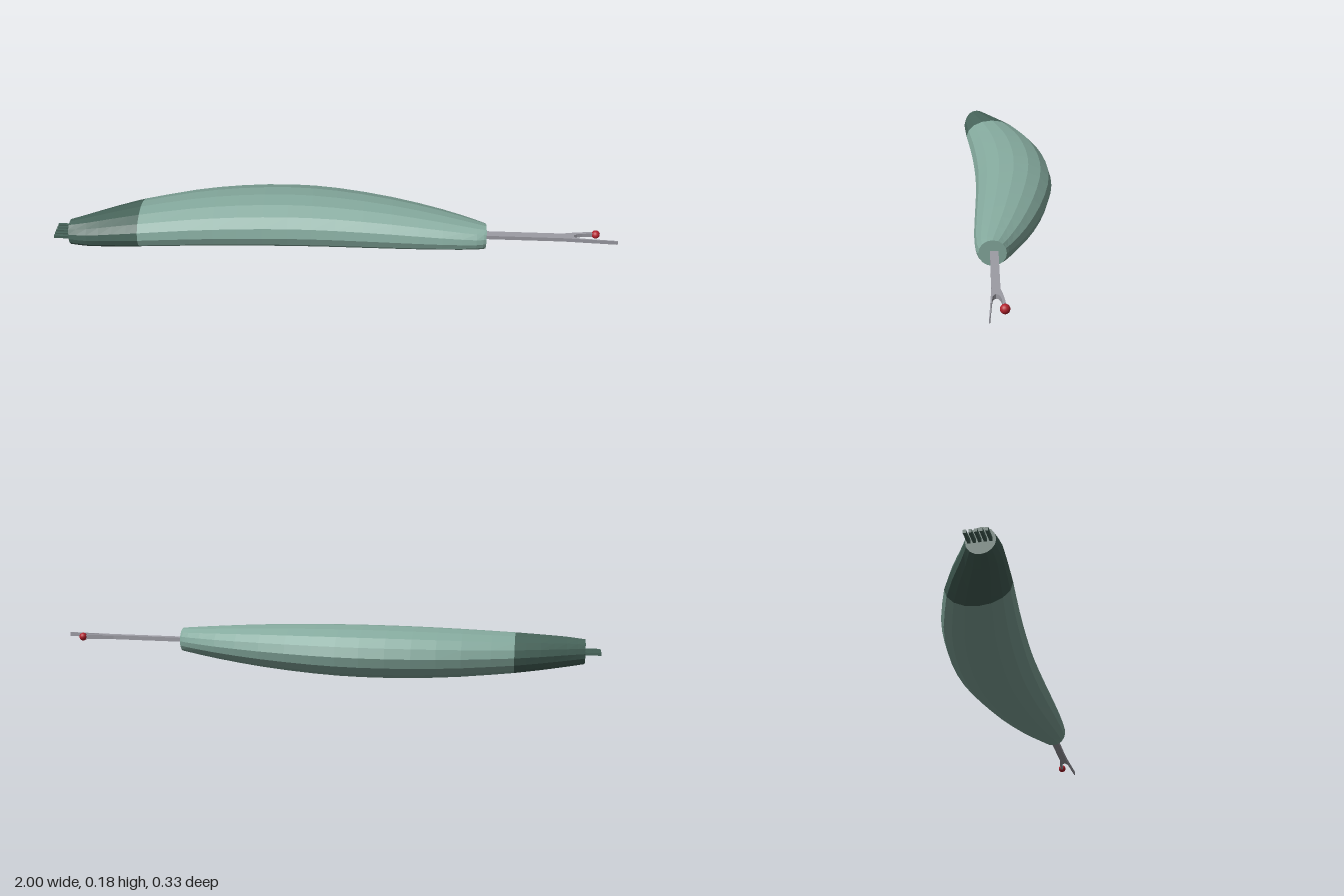
import * as THREE from 'three';

const Y = 0.095; // height of the long axis
const SIDES = 16;

const mat = (name, color) => {
  const m = new THREE.MeshStandardMaterial({ color });
  m.name = name;
  return m;
};

// Handle stations: x, back z, front z, half height
const capStations = [
  [-0.945, 0.064, 0.155, 0.045],
  [-0.88, 0.03, 0.163, 0.054],
  [-0.79, -0.02, 0.159, 0.063],
  [-0.7, -0.063, 0.153, 0.071],
];
const gripStations = [
  [-0.7, -0.063, 0.153, 0.071],
  [-0.52, -0.122, 0.136, 0.083],
  [-0.35, -0.155, 0.124, 0.09],
  [-0.17, -0.168, 0.116, 0.092],
  [0.0, -0.156, 0.115, 0.088],
  [0.2, -0.115, 0.119, 0.077],
  [0.38, -0.058, 0.122, 0.061],
  [0.5, -0.004, 0.118, 0.048],
  [0.535, 0.018, 0.109, 0.044],
];

// Faceted elliptical loft through the stations
function loft(stations, closeStart, closeEnd) {
  const steps = (stations.length - 1) * 2;
  const column = (k) => new THREE.SplineCurve(stations.map((s) => new THREE.Vector2(s[0], s[k])));
  const [back, front, half] = [1, 2, 3].map(column);
  const pos = [], index = [], centres = [];
  for (let i = 0; i <= steps; i++) {
    const t = i / steps;
    const b = back.getPoint(t), f = front.getPoint(t), h = half.getPoint(t).y;
    const zc = (b.y + f.y) / 2, rz = (f.y - b.y) / 2;
    centres.push([b.x, Y, zc]);
    for (let j = 0; j < SIDES; j++) {
      const a = (j / SIDES) * Math.PI * 2;
      pos.push(b.x, Y + h * Math.cos(a), zc + rz * Math.sin(a));
    }
  }
  const id = (i, j) => i * SIDES + (j % SIDES);
  for (let i = 0; i < steps; i++) {
    for (let j = 0; j < SIDES; j++) {
      index.push(id(i, j), id(i, j + 1), id(i + 1, j));
      index.push(id(i, j + 1), id(i + 1, j + 1), id(i + 1, j));
    }
  }
  const startCentre = pos.length / 3;
  pos.push(...centres[0], ...centres[steps]);
  for (let j = 0; j < SIDES; j++) {
    if (closeStart) index.push(startCentre, id(0, j + 1), id(0, j));
    if (closeEnd) index.push(startCentre + 1, id(steps, j), id(steps, j + 1));
  }
  const indexed = new THREE.BufferGeometry();
  indexed.setAttribute('position', new THREE.Float32BufferAttribute(pos, 3));
  indexed.setIndex(index);
  const geometry = indexed.toNonIndexed();
  geometry.computeVertexNormals();
  return geometry;
}

// Shaft and fork outline, drawn in x and z
function forkGeometry() {
  const s = new THREE.Shape();
  s.moveTo(0.52, 0.045);
  s.lineTo(0.81, 0.045);
  s.quadraticCurveTo(0.85, 0.036, 0.925, 0.03);
  s.lineTo(0.925, 0.04);
  s.lineTo(0.88, 0.043);
  s.bezierCurveTo(0.835, 0.048, 0.835, 0.07, 0.885, 0.071);
  s.lineTo(1.0, 0.078);
  s.lineTo(1.0, 0.081);
  s.lineTo(0.81, 0.072);
  s.lineTo(0.52, 0.072);
  const depth = 0.015;
  const g = new THREE.ExtrudeGeometry(s, { depth, bevelEnabled: false, curveSegments: 6 });
  g.rotateX(Math.PI / 2);
  g.translate(0, Y + depth / 2, 0);
  return g;
}

export function createModel() {
  const group = new THREE.Group();
  const gripColor = mat('sage green', 0x85aa9e);
  const capColor = mat('dark green', 0x48655b);
  const metal = mat('steel', 0x9c9ca4);
  const red = mat('red', 0xb3202c);

  const add = (name, geometry, material, x = 0, y = 0, z = 0) => {
    const mesh = new THREE.Mesh(geometry, material);
    mesh.name = name;
    mesh.position.set(x, y, z);
    group.add(mesh);
  };

  add('handleGrip', loft(gripStations, false, true), gripColor);
  add('handleCap', loft(capStations, true, false), capColor);

  // Comb teeth on the rear end
  const tooth = new THREE.BoxGeometry(0.07, 0.011, 0.009);
  for (let i = 0; i < 5; i++) add('combTooth', tooth, capColor, -0.965, Y, 0.076 + i * 0.016);

  add('shaftAndFork', forkGeometry(), metal);
  add('safetyBall', new THREE.SphereGeometry(0.015, 16, 12), red, 0.928, Y, 0.035);

  return group;
}
